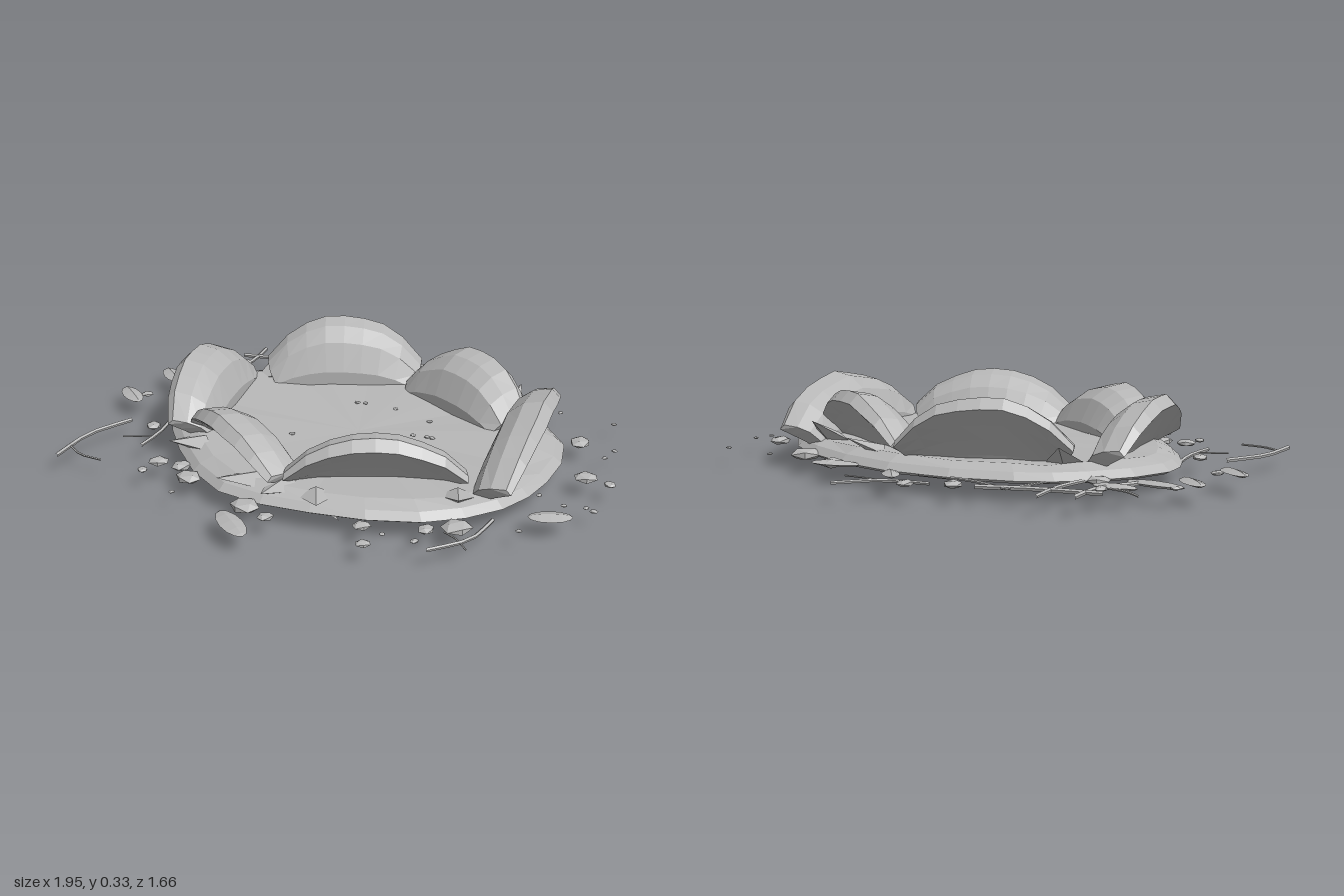
import * as THREE from 'three';

let seed = 7;
const rnd = () => (seed = (seed * 16807) % 2147483647) / 2147483647;
const V = (x, y, z) => new THREE.Vector3(x, y, z);
const GROUND = 0.07;

// Collects quads and triangles into a flat-faced geometry
function builder() {
  const pos = [];
  const tri = (...p) => p.forEach((v) => pos.push(v.x, v.y, v.z));
  return {
    tri,
    quad: (a, b, c, d) => { tri(a, b, c); tri(a, c, d); },
    done() {
      const g = new THREE.BufferGeometry();
      g.setAttribute('position', new THREE.Float32BufferAttribute(pos, 3));
      g.computeVertexNormals();
      return g;
    },
  };
}

// Low oval mound: hollow underside, bevelled rim and fan floor
function moundGeometry() {
  const outline = [[0.73, 0], [0.68, 0.25], [0.49, 0.46], [0.14, 0.58], [-0.2, 0.6], [-0.5, 0.4], [-0.7, 0.16],
    [-0.76, -0.02], [-0.64, -0.3], [-0.45, -0.46], [0, -0.57], [0.43, -0.48], [0.67, -0.3]];
  const curve = new THREE.CatmullRomCurve3(outline.map(([x, z]) => V(x, 0, z)), true);
  const pts = curve.getPoints(26).slice(0, 26);
  const rings = [[0, 0.093], [0.9, 0.093], [0.97, 0.064], [1, 0.075], [0.96, 0.1], [0.88, 0.118], [0, 0.1]]
    .map(([s, y], r) => pts.map((p) => V(p.x * s, y + (r === 5 ? 0.012 * (rnd() - 0.5) : 0), p.z * s)));
  const b = builder();
  for (let r = 0; r < rings.length - 1; r++) {
    for (let i = 0; i < pts.length; i++) {
      const j = (i + 1) % pts.length, lo = rings[r], hi = rings[r + 1];
      if (r === 0) b.tri(lo[i], hi[i], hi[j]);
      else if (r === rings.length - 2) b.tri(lo[i], hi[i], lo[j]);
      else b.quad(lo[i], hi[i], hi[j], lo[j]);
    }
  }
  return b.done();
}

// Inner face of a slab: share of the outward lean, share of the height
const PROFILE = [[0.02, 0], [0, 0.36], [0.24, 0.76], [0.58, 0.94], [1, 1]];

// Arched slab over a chord, flaring up and outward, with blunt raised ends
function slabGeometry([px, pz, qx, qz, top, lean, bow]) {
  let P = V(px, 0, pz), Q = V(qx, 0, qz);
  const outOf = () => { const d = Q.clone().sub(P).normalize(); return V(d.z, 0, -d.x); };
  let n = outOf();
  if (n.dot(P.clone().add(Q)) < 0) { [P, Q] = [Q, P]; n = outOf(); }
  const NU = 8, NV = PROFILE.length - 1, base = 0.07, inner = [], outer = [];
  for (let i = 0; i <= NU; i++) {
    const u = i / NU, s = Math.pow(Math.sin(Math.PI * u), 0.7);
    const h = (top - base) * (0.4 + 0.6 * s) * (0.95 + 0.05 * rnd());
    const l = lean * (0.78 + 0.22 * s), t = 0.025 + 0.025 * s;
    inner.push([]);
    outer.push([]);
    PROFILE.forEach(([out, up], k) => {
      const v = k / NV;
      const at = (flare) => P.clone().lerp(Q, 0.5 + (u - 0.5) * (0.8 + 0.2 * flare)).addScaledVector(n, -bow * s);
      const p = at(up).addScaledVector(n, l * out);
      p.y = base + h * up;
      const o = at(v).addScaledVector(n, t + (l - 0.3 * t) * Math.pow(v, 1.2));
      o.y = base + (h - 0.7 * t) * v;
      inner[i].push(p);
      outer[i].push(o);
    });
  }
  const b = builder();
  for (let i = 0; i < NU; i++) {
    for (let k = 0; k < NV; k++) {
      b.quad(inner[i][k], inner[i + 1][k], inner[i + 1][k + 1], inner[i][k + 1]);
      b.quad(outer[i][k], outer[i][k + 1], outer[i + 1][k + 1], outer[i + 1][k]);
    }
    b.quad(inner[i][NV], inner[i + 1][NV], outer[i + 1][NV], outer[i][NV]);
    b.quad(outer[i][0], outer[i + 1][0], inner[i + 1][0], inner[i][0]);
  }
  for (let k = 0; k < NV; k++) {
    b.quad(inner[0][k], inner[0][k + 1], outer[0][k + 1], outer[0][k]);
    b.quad(inner[NU][k], outer[NU][k], outer[NU][k + 1], inner[NU][k + 1]);
  }
  return b.done();
}

export function createModel() {
  const model = new THREE.Group();
  const stone = new THREE.MeshStandardMaterial({ color: 0xb8b8b8, flatShading: true });
  stone.name = 'grey stone';
  const groups = {};
  const add = (group, name, geo) => {
    if (!groups[group]) {
      groups[group] = new THREE.Group();
      groups[group].name = group;
      model.add(groups[group]);
    }
    const m = new THREE.Mesh(geo, stone);
    m.name = name;
    groups[group].add(m);
    return m;
  };

  add('ground', 'craterMound', moundGeometry());

  // Ring of upturned slabs: chord x, z to x, z, top height, lean, bow
  [[-0.5, -0.17, 0.03, -0.44, 0.34, 0.165, 0.0],
    [-0.04, -0.38, 0.46, -0.18, 0.31, 0.175, 0.0],
    [0.42, -0.47, 0.58, 0.31, 0.315, 0.16, 0.0],
    [-0.05, 0.41, 0.49, 0.13, 0.31, 0.175, 0.03],
    [-0.43, 0.17, 0.05, 0.42, 0.285, 0.19, 0.0],
    [-0.57, -0.26, -0.42, 0.34, 0.315, 0.165, 0.0],
  ].forEach((s) => add('slabs', 'upturnedSlab', slabGeometry(s)));

  // Wedge shards around the slab feet: x, y, z of root, then of tip, radius
  [[0.03, 0.09, 0.43, 0.19, 0.005, 0.47, 0.06], [-0.36, 0.08, 0.28, -0.46, 0.04, 0.26, 0.06],
    [0.4, 0.09, -0.2, 0.48, 0.045, -0.13, 0.06], [-0.1, 0.1, 0.5, -0.2, 0.13, 0.61, 0.08],
    [0.0, 0.1, 0.48, -0.02, 0.12, 0.62, 0.08], [0.12, 0.1, 0.5, 0.18, 0.12, 0.6, 0.07],
    [-0.42, 0.1, 0.36, -0.49, 0.14, 0.47, 0.08], [0.12, 0.11, -0.45, 0.2, 0.16, -0.54, 0.06],
    [0.42, 0.11, -0.36, 0.42, 0.19, -0.48, 0.07], [-0.5, 0.1, -0.24, -0.55, 0.18, -0.36, 0.08],
    [0.53, 0.1, 0.28, 0.58, 0.14, 0.38, 0.07],
  ].forEach(([x, y, z, tx, ty, tz, r]) => {
    const a = V(x, y, z), d = V(tx, ty, tz).sub(a), len = d.length();
    const m = add('shards', 'shard', new THREE.ConeGeometry(r, len, 4).scale(1, 1, 0.4).translate(0, len / 2, 0));
    m.position.copy(a);
    m.lookAt(a.clone().add(d));
    m.rotateX(Math.PI / 2);
  });

  // Twigs: radius, then x, z points along the ground
  [[0.006, 0, -0.83, -0.1, -0.7, -0.26, -0.65], [0.003, -0.1, -0.7, -0.03, -0.7, 0.05, -0.71],
    [0.008, -0.4, -0.6, -0.56, -0.52, -0.78, -0.45], [0.005, -0.5, -0.57, -0.32, -0.53, -0.13, -0.55],
    [0.007, -0.64, -0.61, -0.61, -0.45, -0.63, -0.2], [0.004, -0.5, -0.56, -0.53, -0.42, -0.57, -0.29],
    [0.008, -0.74, -0.55, -0.72, -0.4, -0.8, -0.2], [0.004, -0.89, -0.42, -0.82, -0.38, -0.74, -0.37],
    [0.008, -0.8, 0.28, -0.86, 0.45, -0.85, 0.65], [0.004, -0.86, 0.56, -0.78, 0.6, -0.69, 0.6],
    [0.007, -0.71, 0.1, -0.65, 0.3, -0.64, 0.44], [0.003, -0.74, 0.41, -0.69, 0.38, -0.65, 0.36],
    [0.007, 0.68, 0.33, 0.67, 0.48, 0.58, 0.61], [0.003, 0.58, 0.48, 0.63, 0.5, 0.69, 0.55],
  ].forEach(([r, ...c]) => {
    const pts = [0, 2, 4].map((i) => V(c[i], GROUND + 0.004, c[i + 1]));
    add('twigs', 'twig', new THREE.TubeGeometry(new THREE.CatmullRomCurve3(pts), 5, r, 5));
  });

  // Leaves: x, z of both tips and half width
  [[-0.97, -0.18, -0.85, -0.09, 0.035], [-1, 0.05, -0.87, 0.14, 0.035], [-0.94, -0.23, -0.73, -0.24, 0.025],
    [-0.83, -0.33, -0.68, -0.36, 0.025], [-0.12, 0.71, 0.04, 0.82, 0.04], [0.77, 0.26, 0.9, 0.19, 0.04],
    [0.13, -0.55, 0.3, -0.61, 0.035], [-0.1, -0.65, -0.01, -0.56, 0.03],
  ].forEach(([x, z, x2, z2, w]) => {
    const len = Math.hypot(x2 - x, z2 - z);
    const geo = new THREE.SphereGeometry(1, 4, 6).rotateZ(Math.PI / 2).scale(len / 2, 0.012, w);
    const m = add('leaves', 'leaf', geo);
    m.position.set((x + x2) / 2, GROUND + 0.006, (z + z2) / 2);
    m.rotation.y = -Math.atan2(z2 - z, x2 - x);
  });

  // Loose stones and crumbs: x, z, radius
  const scatter = (name, y, list) => list.forEach(([x, z, r = 0.011]) => {
    const m = add('rubble', name, new THREE.IcosahedronGeometry(r, 0));
    m.scale.set(1.1, 0.4, 0.95);
    m.rotation.y = rnd() * 6;
    m.position.set(x, y, z);
  });
  scatter('stone', GROUND + 0.004, [[-0.19, -0.69, 0.03], [-0.32, -0.61, 0.035], [0.43, -0.5, 0.055],
    [0.71, -0.35, 0.04], [0.83, -0.1, 0.04], [0.92, -0.09, 0.022], [0.6, 0.43, 0.05], [-0.51, 0.51, 0.035],
    [-0.07, 0.64, 0.05], [0.03, 0.67, 0.028], [0.39, 0.67, 0.025], [0.33, 0.57, 0.03], [-0.35, 0.56, 0.045],
    [-0.65, -0.28, 0.04], [-0.89, 0.06, 0.022], [-0.91, -0.24, 0.02], [-0.7, 0.28, 0.03], [-0.73, -0.39, 0.025],
    [0.24, -0.57, 0.045], [-0.52, 0.59, 0.02], [-0.42, 0.5, 0.035], [0.52, 0.49, 0.03]]);
  scatter('crumb', GROUND, [[0.76, -0.56], [0.74, 0.09], [0.84, 0.12], [0.94, 0.11, 0.014], [0.78, 0.35],
    [0.55, -0.56], [-0.34, 0.67], [0.84, -0.35], [0.83, -0.28], [0.52, 0.57, 0.015], [0.41, 0.58], [0.91, 0.1]]);
  scatter('floorCrumb', 0.112, [[-0.08, -0.2], [0.04, -0.21], [0.2, -0.17], [0.27, -0.05], [0.25, -0.05],
    [0.04, 0.2], [-0.18, 0.16], [-0.25, 0.27], [-0.11, -0.19], [0.2, -0.04]]);

  return model;
}
